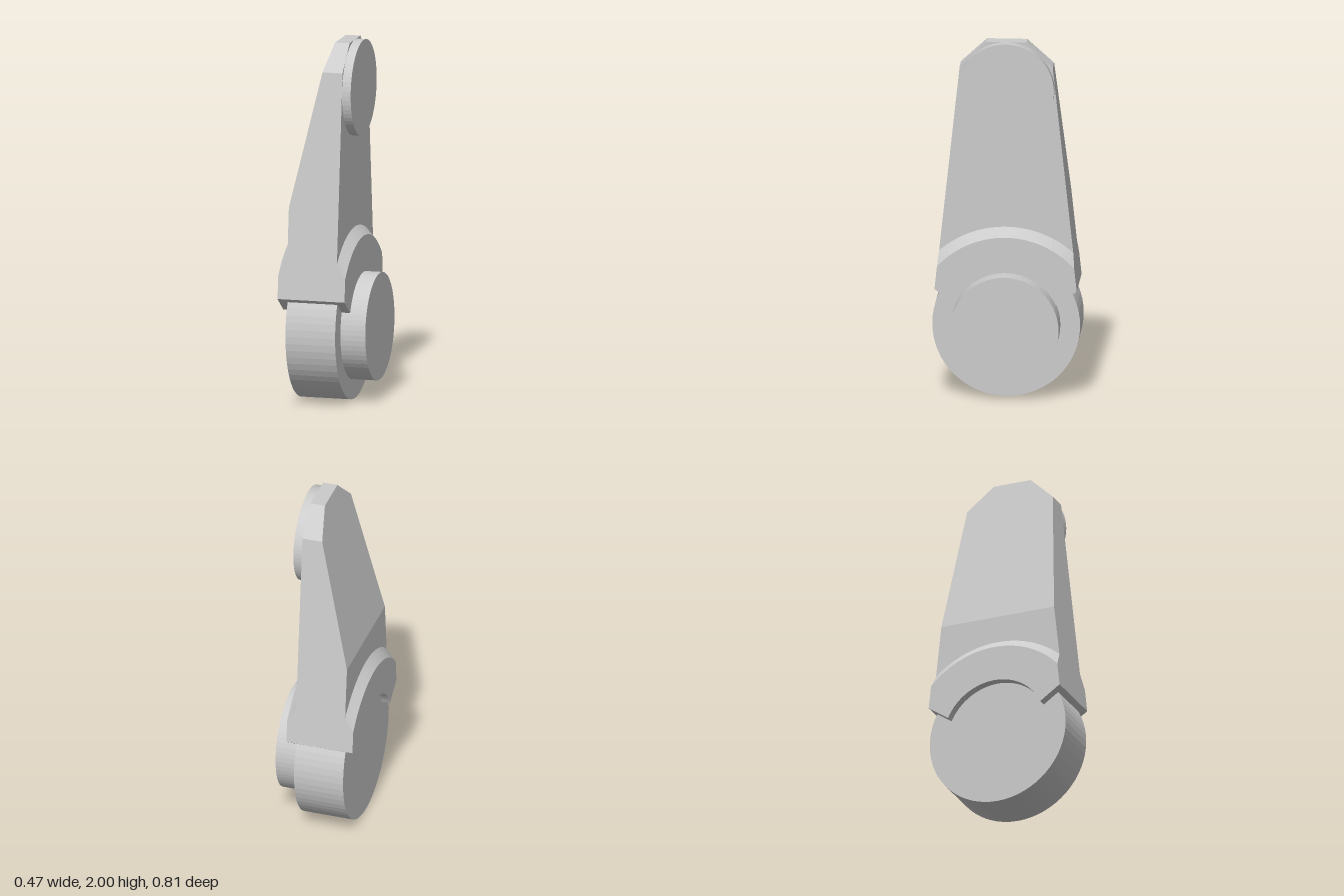
import * as THREE from 'three';

const material = new THREE.MeshStandardMaterial({ color: 0xcccccc, flatShading: true });
const HUB_Y = 0.405;
const BACK = -0.188, FACE = 0.094;      // faces of the arm along x
const SLOPE = 0.108;                    // taper of the arm's edges
const flank = (y) => 0.39 - SLOPE * (y - 0.61);

// Arc around the hub, as [z, y] points
function arc(r, from, to, n) {
  return Array.from({ length: n + 1 }, (_, i) => {
    const t = from + (to - from) * i / n;
    return [r * Math.cos(t), HUB_Y + r * Math.sin(t)];
  });
}

// Outline that sits over the hub: edge corners, upper outline, inner arc back
function saddle(upper) {
  return [[0.39, 0.61], ...upper, [-0.39, 0.61], ...arc(0.302, Math.PI - 0.427, 0.427, 32)];
}

// Collar outline: outer arc cut off by the arm's slanted edges
function collarLoop(r) {
  const t = Math.atan(SLOPE) + Math.acos(flank(HUB_Y) / (r * Math.hypot(1, SLOPE)));
  return saddle(arc(r, t, Math.PI - t, 28));
}

// Solid between two matching counter-clockwise [z, y] outlines; x may depend on y
function loft(low, high, xLow, xHigh) {
  const a = low.map(([z, y]) => [xLow(y), y, z]);
  const b = high.map(([z, y]) => [xHigh(y), y, z]);
  const pos = [];
  a.forEach((p, i) => {
    const j = (i + 1) % a.length;
    pos.push(...p, ...b[i], ...b[j], ...p, ...b[j], ...a[j]);
  });
  const cap = (loop) => THREE.ShapeUtils.triangulateShape(loop.map(([z, y]) => new THREE.Vector2(z, y)), []);
  for (const [i, j, k] of cap(low)) pos.push(...a[i], ...a[j], ...a[k]);
  for (const [i, j, k] of cap(high)) pos.push(...b[i], ...b[k], ...b[j]);
  const g = new THREE.BufferGeometry();
  g.setAttribute('position', new THREE.Float32BufferAttribute(pos, 3));
  g.computeVertexNormals();
  return g;
}

// Disc with its axis along x
function disc(r, y, x0, x1) {
  return new THREE.CylinderGeometry(r, r, x1 - x0, 64)
    .rotateZ(Math.PI / 2).translate((x0 + x1) / 2, y, 0);
}

export function createModel() {
  const group = new THREE.Group();
  const add = (name, geometry) => {
    const mesh = new THREE.Mesh(geometry, material);
    mesh.name = name;
    group.add(mesh);
  };
  const at = (x) => () => x;

  // Lower hub with its boss, and the upper pivot cap
  add('hub', disc(0.405, HUB_Y, BACK, FACE));
  add('hubBoss', disc(0.297, 0.408, FACE, 0.235));
  add('pivotCap', disc(0.265, 1.735, FACE, 0.143));

  // Arm: straight lower part, then a part that thins towards the top
  const bend = 1.11;
  const lower = saddle([[flank(bend), bend], [-flank(bend), bend]]);
  add('lowerArm', loft(lower, lower, at(BACK), at(FACE)));
  const right = [[flank(bend), bend], [0.255, 1.86], [0.11, 2]];
  const upper = [...right, ...right.map(([z, y]) => [-z, y]).reverse()];
  const thinning = (y) => BACK + (y - bend) * 0.2 / (2 - bend);
  add('upperArm', loft(upper, upper, thinning, at(FACE)));

  // Bevelled collars on both faces
  const wide = collarLoop(0.552), narrow = collarLoop(0.502);
  add('leftCollar', loft(wide, narrow, at(FACE), at(0.143)));
  add('rightCollar', loft(narrow, wide, at(-0.237), at(BACK)));

  return group;
}
